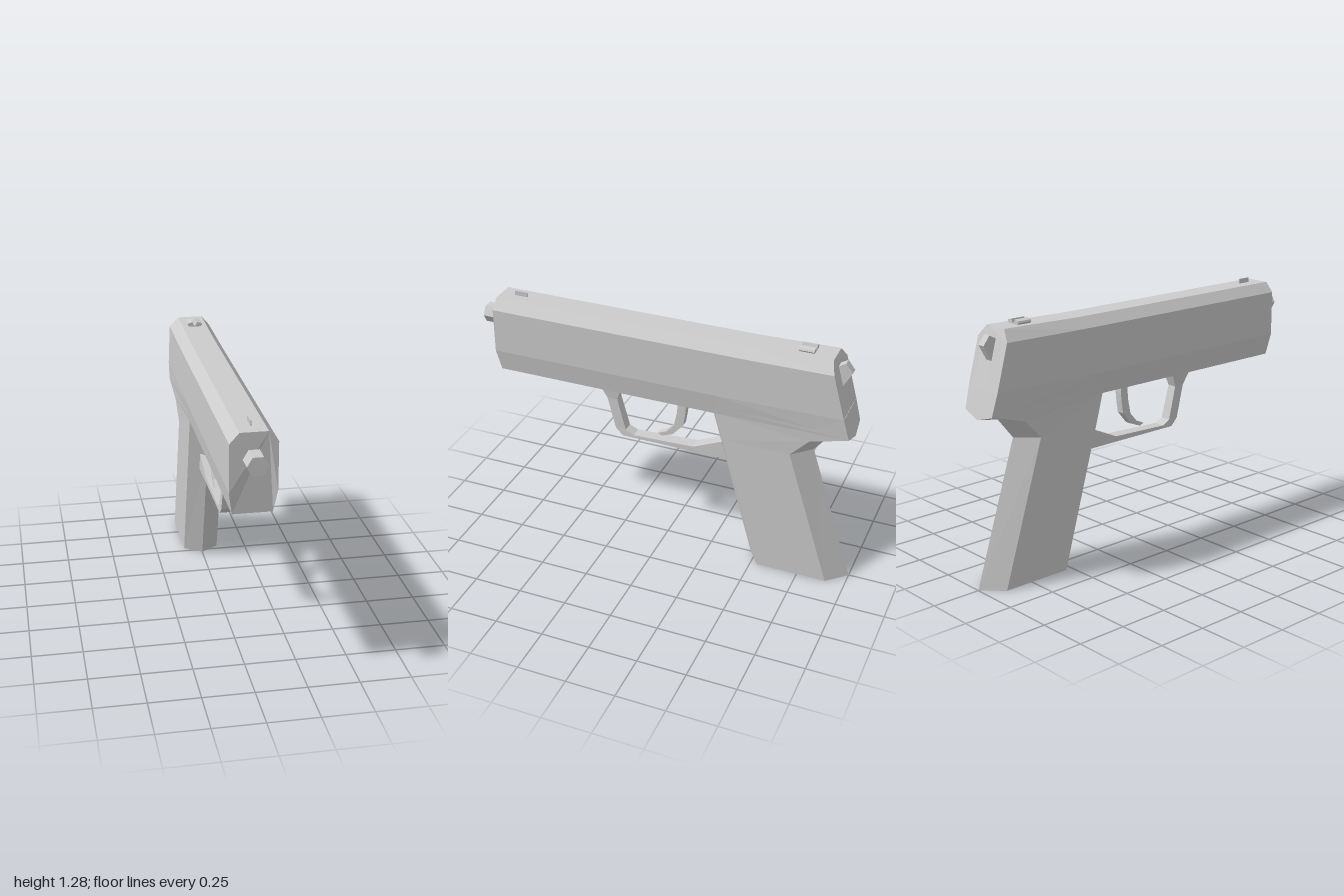
import * as THREE from 'three';

const material = new THREE.MeshStandardMaterial({ color: 0xcccccc, flatShading: true });

function part(name, geometry) {
  const mesh = new THREE.Mesh(geometry, material);
  mesh.name = name;
  return mesh;
}

// Closed solid through rings of [x, y, z] corners, capped at both ends, facing outward
function loft(rings) {
  const n = rings[0].length, last = rings.length - 1, tris = [];
  for (let i = 0; i < last; i++) {
    for (let j = 0; j < n; j++) {
      const k = (j + 1) % n;
      const a = rings[i][j], b = rings[i][k], c = rings[i + 1][k], d = rings[i + 1][j];
      tris.push([a, b, c], [a, c, d]);
    }
  }
  for (let j = 1; j < n - 1; j++) {
    tris.push([rings[0][0], rings[0][j + 1], rings[0][j]]);
    tris.push([rings[last][0], rings[last][j], rings[last][j + 1]]);
  }
  // Signed volume tells whether the winding must be turned over
  let volume = 0;
  for (const [a, b, c] of tris) {
    volume += new THREE.Vector3(...a).dot(new THREE.Vector3(...b).cross(new THREE.Vector3(...c)));
  }
  const faces = volume < 0 ? tris.map(([a, b, c]) => [a, c, b]) : tris;
  const geometry = new THREE.BufferGeometry();
  geometry.setAttribute('position', new THREE.Float32BufferAttribute(faces.flat(2), 3));
  geometry.computeVertexNormals();
  return geometry;
}

// Bent bar: each row is outer z, outer y, inner z, inner y, half width
function bar(rows) {
  return loft(rows.map(([oz, oy, iz, iy, w]) => [[-w, oy, oz], [w, oy, oz], [w, iy, iz], [-w, iy, iz]]));
}

// Slide ring: four [half width, y, z] levels from top to bottom, mirrored
function slideRing(levels) {
  return [...levels, ...levels.map(([x, y, z]) => [-x, y, z]).reverse()];
}

// Grip ring with a ridge front and back: [z, y] of front ridge, front side, back side, back ridge
function gripRing(fc, fs, bs, bc, wf, wb = wf) {
  return [
    [0, fc[1], fc[0]], [wf, fs[1], fs[0]], [wb, bs[1], bs[0]],
    [0, bc[1], bc[0]], [-wb, bs[1], bs[0]], [-wf, fs[1], fs[0]],
  ];
}

export function createModel() {
  const model = new THREE.Group();
  model.name = 'pistol';

  // Slide and frame with chamfered top and tapered underside
  model.add(part('slide', loft([
    slideRing([[0.065, 1.25, 0.91], [0.11, 1.2, 0.91], [0.11, 0.97, 0.91], [0.093, 0.86, 0.89]]),
    slideRing([[0.065, 1.25, -0.42], [0.11, 1.2, -0.42], [0.11, 0.97, -0.29], [0.093, 0.86, -0.29]]),
    slideRing([[0.065, 1.26, -0.85], [0.11, 1.205, -0.87], [0.11, 0.98, -0.932], [0.1, 0.87, -0.962]]),
  ])));

  // Slanted grip flowing into the rear tang
  model.add(part('grip', loft([
    gripRing([-0.47, 0], [-0.535, 0], [-0.9, 0], [-1, 0], 0.093),
    gripRing([-0.27, 0.715], [-0.33, 0.715], [-0.675, 0.715], [-0.77, 0.715], 0.093),
    gripRing([-0.23, 0.86], [-0.29, 0.86], [-0.77, 0.815], [-0.855, 0.82], 0.093, 0.097),
    gripRing([-0.26, 0.9], [-0.29, 0.9], [-0.962, 0.87], [-0.97, 0.84], 0.099, 0.102),
    gripRing([-0.28, 0.97], [-0.29, 0.97], [-0.932, 0.98], [-0.932, 0.98], 0.11),
  ])));

  // Six-sided barrel end
  const barrel = part('barrel', new THREE.CylinderGeometry(0.05, 0.05, 0.15, 6, 1, false, Math.PI / 2));
  barrel.rotation.x = Math.PI / 2;
  barrel.position.set(0, 1.125, 0.925);
  model.add(barrel);

  // Trigger guard
  model.add(part('triggerGuard', bar([
    [0.375, 0.865, 0.235, 0.865, 0.035],
    [0.325, 0.775, 0.27, 0.775, 0.025],
    [0.28, 0.605, 0.225, 0.605, 0.028],
    [0.24, 0.567, 0.18, 0.583, 0.03],
    [-0.15, 0.567, -0.15, 0.595, 0.033],
    [-0.335, 0.567, -0.305, 0.665, 0.036],
  ])));

  // Curved trigger
  model.add(part('trigger', bar([
    [-0.05, 0.87, -0.105, 0.87, 0.02],
    [-0.062, 0.83, -0.105, 0.81, 0.02],
    [-0.055, 0.76, -0.1, 0.76, 0.02],
    [-0.04, 0.69, -0.09, 0.7, 0.02],
    [0, 0.645, -0.035, 0.635, 0.02],
    [0.05, 0.622, 0.025, 0.612, 0.02],
  ])));

  // Hammer
  const hammer = [[-0.84, 1.19], [-0.865, 1.21], [-0.9, 1.23], [-0.935, 1.185], [-0.888, 1.1], [-0.86, 1.1]];
  model.add(part('hammer', loft([-0.02, 0.02].map((x) => hammer.map(([z, y]) => [x, y, z])))));

  // Thin front sight blade
  const frontSight = part('frontSight', new THREE.BoxGeometry(0.005, 0.035, 0.07));
  frontSight.position.set(0, 1.2575, 0.8);
  model.add(frontSight);

  // Rear sight with a notch, one half per side
  const rearSight = new THREE.Group();
  rearSight.name = 'rearSight';
  const profile = [[0, 1.25], [0.025, 1.25], [0.04, 1.266], [0.036, 1.274], [0.012, 1.28], [0.006, 1.262], [0, 1.262]];
  for (const side of [-1, 1]) {
    rearSight.add(part('sightHalf', loft([-0.675, -0.75].map((z) => profile.map(([x, y]) => [side * x, y, z])))));
  }
  model.add(rearSight);

  return model;
}
